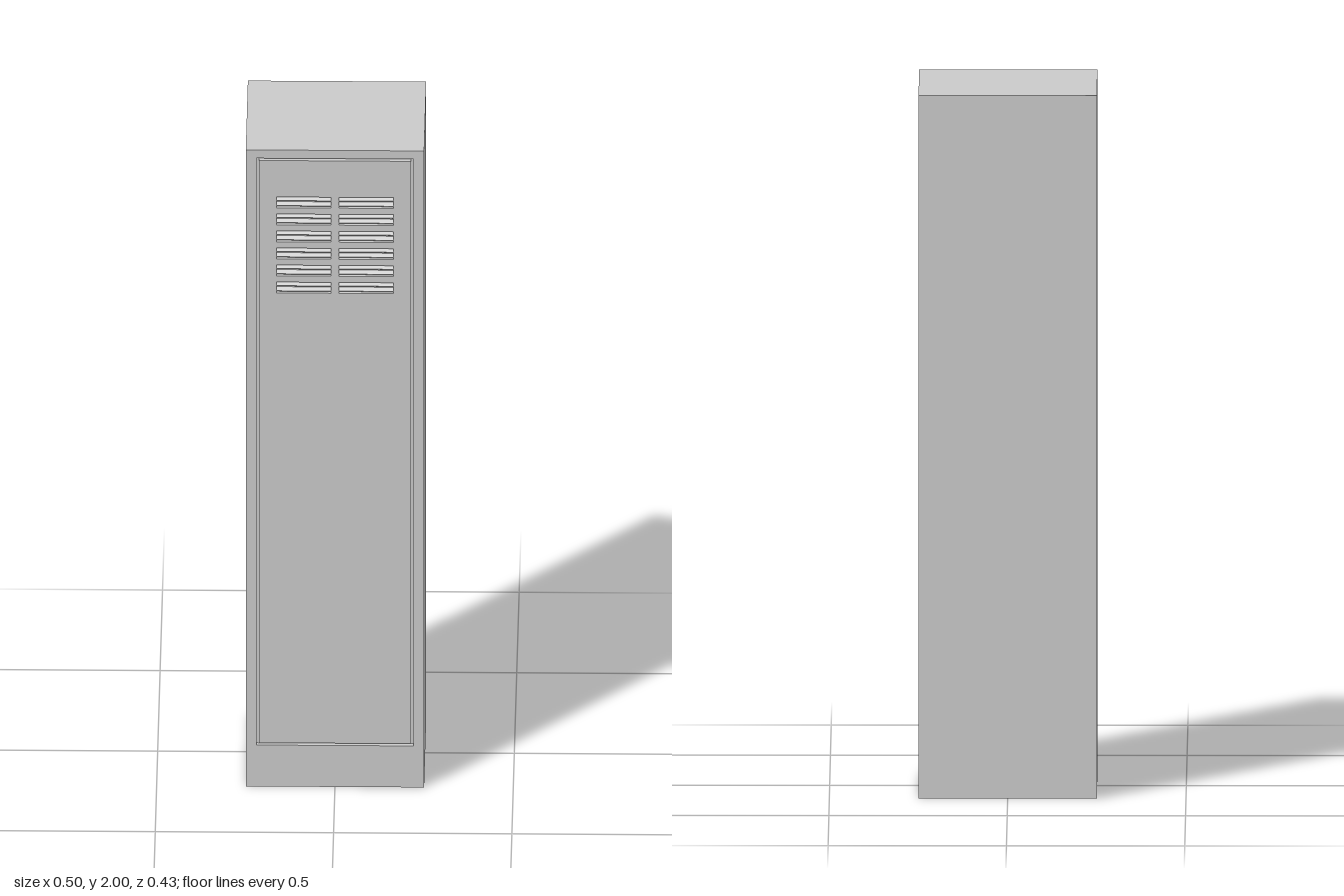
import * as THREE from 'three';

const W = 0.5, H = 2, D = 0.43;          // cabinet size
const SKIN = 0.014;                      // depth of the front panel layer
const GAP = 0.007;                       // groove around the door
const DOOR = { x: 0.22, y0: 0.13, y1: 1.974 };
const SLOT = { x0: 0.011, x1: 0.164, h: 0.034, first: 1.568, pitch: 0.0535, rows: 6 };

const material = new THREE.MeshStandardMaterial({ color: 0xcccccc, flatShading: true });

function rect(Type, x0, y0, x1, y1) {
  return new Type([[x0, y0], [x1, y0], [x1, y1], [x0, y1]].map(([x, y]) => new THREE.Vector2(x, y)));
}

function add(parent, name, geometry, x = 0, y = 0, z = 0) {
  const mesh = new THREE.Mesh(geometry, material);
  mesh.name = name;
  mesh.position.set(x, y, z);
  parent.add(mesh);
  return mesh;
}

export function createModel() {
  const locker = new THREE.Group();
  locker.name = 'locker';
  const frontZ = D / 2 - SKIN;
  const extrude = { depth: SKIN, bevelEnabled: false };

  // Cabinet body; its front is the floor of the groove and of the vents
  add(locker, 'body', new THREE.BoxGeometry(W, H, D - SKIN), 0, H / 2, -SKIN / 2);

  // Frame around the door opening
  const frame = rect(THREE.Shape, -W / 2, 0, W / 2, H);
  frame.holes.push(rect(THREE.Path, -DOOR.x, DOOR.y0, DOOR.x, DOOR.y1));
  add(locker, 'doorFrame', new THREE.ExtrudeGeometry(frame, extrude), 0, 0, frontZ);

  // Door with two columns of vent slots
  const door = rect(THREE.Shape, -DOOR.x + GAP, DOOR.y0 + GAP, DOOR.x - GAP, DOOR.y1 - GAP);
  const vents = new THREE.Group();
  vents.name = 'vents';
  const slotW = SLOT.x1 - SLOT.x0;
  const slat = new THREE.BoxGeometry(slotW, 0.003, 0.013);
  for (let row = 0; row < SLOT.rows; row++) {
    const y = SLOT.first + row * SLOT.pitch;
    for (const side of [-1, 1]) {
      const x = side * (SLOT.x0 + SLOT.x1) / 2;
      door.holes.push(rect(THREE.Path, x - slotW / 2, y - SLOT.h / 2, x + slotW / 2, y + SLOT.h / 2));
      // Slanted slats inside each slot
      for (const dy of [-0.008, 0.008]) {
        add(vents, 'ventSlat', slat, x, y + dy, frontZ + SKIN / 2).rotation.x = 0.6;
      }
    }
  }
  add(locker, 'door', new THREE.ExtrudeGeometry(door, extrude), 0, 0, frontZ);
  locker.add(vents);
  return locker;
}
